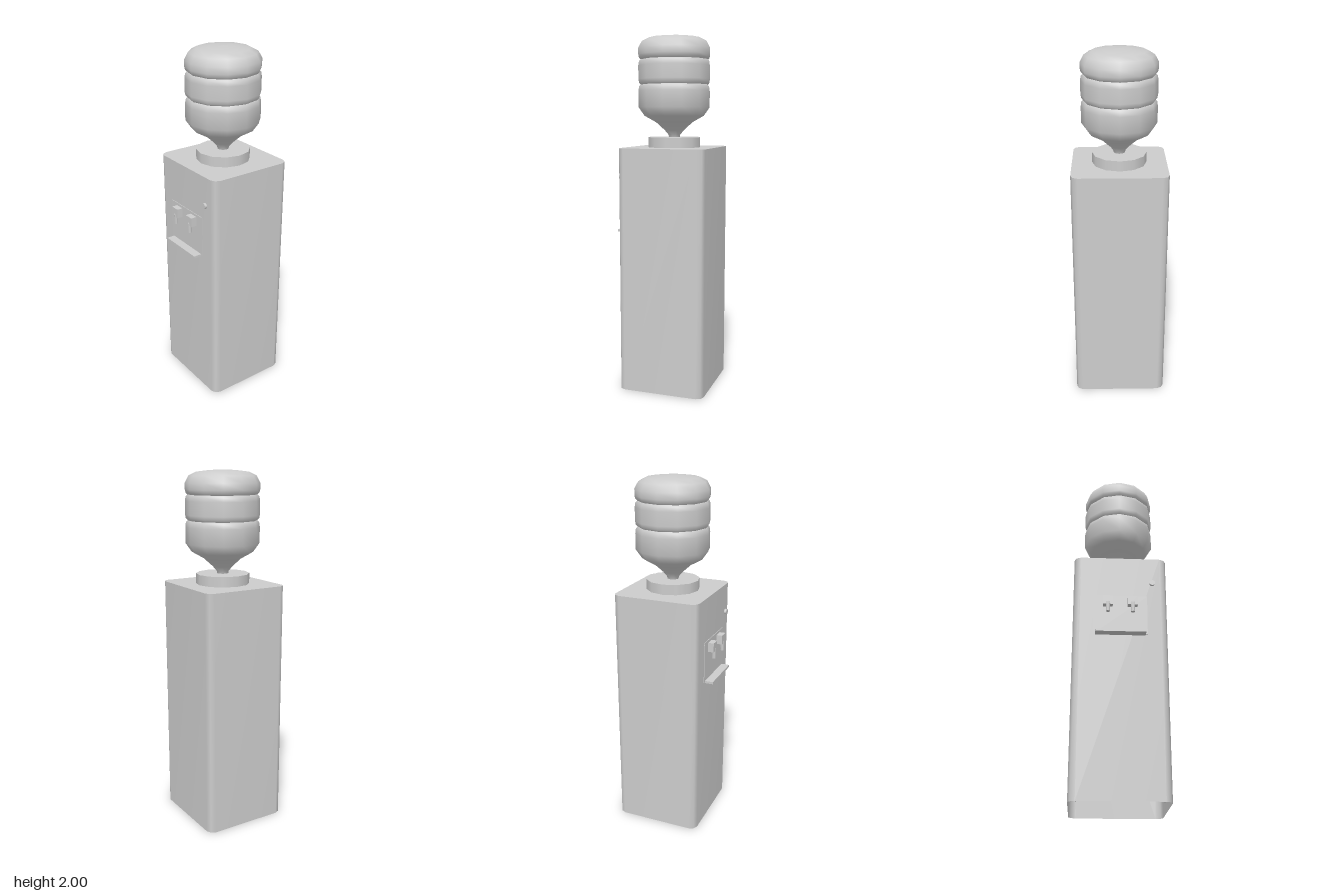
import * as THREE from 'three';

const grey = new THREE.MeshStandardMaterial({ color: 0xcccccc, side: THREE.DoubleSide });
grey.name = 'light grey plastic';

const AXIS_Z = -0.026; // bottle and cabinet share this centre line
const FRONT = 0.223;
const CABINET_TOP = 1.38;

function add(parent, name, geometry, x = 0, y = 0, z = 0) {
  const mesh = new THREE.Mesh(geometry, grey);
  mesh.name = name;
  mesh.position.set(x, y, z);
  parent.add(mesh);
  return mesh;
}

// Box given by its limits on each axis
function addBox(parent, name, [x0, x1], [y0, y1], [z0, z1]) {
  return add(parent, name, new THREE.BoxGeometry(x1 - x0, y1 - y0, z1 - z0),
    (x0 + x1) / 2, (y0 + y1) / 2, (z0 + z1) / 2);
}

// Rounded rectangle as [x, z] points, running front, +x, back, -x
function cabinetOutline() {
  const hx = 0.262, hz = 0.248;
  const corner = [[0.038, 0], [0.012, 0.012], [0, 0.038]];
  const points = [];
  for (const [sx, sz] of [[1, 1], [1, -1], [-1, -1], [-1, 1]]) {
    const cut = sx * sz > 0 ? corner : [...corner].reverse();
    for (const [dx, dz] of cut) points.push([sx * (hx - dx), AXIS_Z + sz * (hz - dz)]);
  }
  return points;
}

// Open-ended smooth wall following the outline
function wallGeometry(outline, y0, y1) {
  const positions = [], index = [], n = outline.length;
  outline.forEach(([x, z], i) => {
    positions.push(x, y0, z, x, y1, z);
    const a = 2 * i, b = 2 * ((i + 1) % n);
    index.push(a, b, b + 1, a, b + 1, a + 1);
  });
  const geometry = new THREE.BufferGeometry();
  geometry.setAttribute('position', new THREE.Float32BufferAttribute(positions, 3));
  geometry.setIndex(index);
  geometry.computeVertexNormals();
  return geometry;
}

function addCabinet(parent) {
  const outline = cabinetOutline();
  add(parent, 'cabinetWalls', wallGeometry(outline, 0, CABINET_TOP));
  const shape = new THREE.Shape(outline.map(([x, z]) => new THREE.Vector2(x, -z)));
  add(parent, 'cabinetTop', new THREE.ShapeGeometry(shape).rotateX(-Math.PI / 2), 0, CABINET_TOP, 0);

  // Inner lip around the foot of the front wall
  addBox(parent, 'innerLipRail', [-0.222, 0.222], [0.095, 0.1], [FRONT - 0.035, FRONT - 0.002]);
  for (const s of [-1, 1]) {
    addBox(parent, 'innerLipSide', [s * 0.22 - 0.002, s * 0.22 + 0.002], [0.003, 0.1], [FRONT - 0.035, FRONT - 0.002]);
  }
}

function addControls(parent) {
  addBox(parent, 'tapPanel', [-0.15, 0.15], [0.9, 1.135], [FRONT - 0.002, FRONT + 0.002]);
  addBox(parent, 'dripTray', [-0.138, 0.138], [0.895, 0.908], [FRONT, 0.272]);
  for (const x of [-0.07, 0.068]) {
    const tap = new THREE.Group();
    tap.name = 'tap';
    tap.position.x = x;
    addBox(tap, 'tapBody', [-0.027, 0.027], [1.067, 1.12], [FRONT, 0.258]);
    add(tap, 'tapSpout', new THREE.CylinderGeometry(0.012, 0.012, 0.058, 6), 0, 1.054, 0.251);
    parent.add(tap);
  }
  add(parent, 'button', new THREE.CylinderGeometry(0.016, 0.016, 0.013, 12).rotateX(Math.PI / 2), 0.18, 1.22, 0.23);
}

function addBottle(parent) {
  add(parent, 'bottleCollar', new THREE.CylinderGeometry(0.15, 0.15, 0.057, 12), 0, CABINET_TOP + 0.0285, AXIS_Z);

  // Three bulging sections that meet at sharp grooves, as [radius, height]
  const sections = {
    bottleShoulder: [[0.03, 1.43], [0.034, 1.45], [0.055, 1.475], [0.105, 1.52], [0.172, 1.557],
      [0.206, 1.605], [0.206, 1.695], [0.202, 1.72], [0.192, 1.73]],
    bottleMiddle: [[0.192, 1.73], [0.202, 1.74], [0.206, 1.76], [0.206, 1.835], [0.202, 1.858], [0.192, 1.868]],
    bottleTop: [[0.192, 1.868], [0.202, 1.878], [0.206, 1.895], [0.206, 1.93], [0.185, 1.968],
      [0.145, 1.988], [0.07, 1.997], [0, 2]],
  };
  for (const [name, profile] of Object.entries(sections)) {
    const points = profile.map(([r, y]) => new THREE.Vector2(r, y));
    add(parent, name, new THREE.LatheGeometry(points, 12), 0, 0, AXIS_Z);
  }
}

export function createModel() {
  const model = new THREE.Group();
  model.name = 'waterCooler';
  addCabinet(model);
  addControls(model);
  addBottle(model);
  return model;
}
